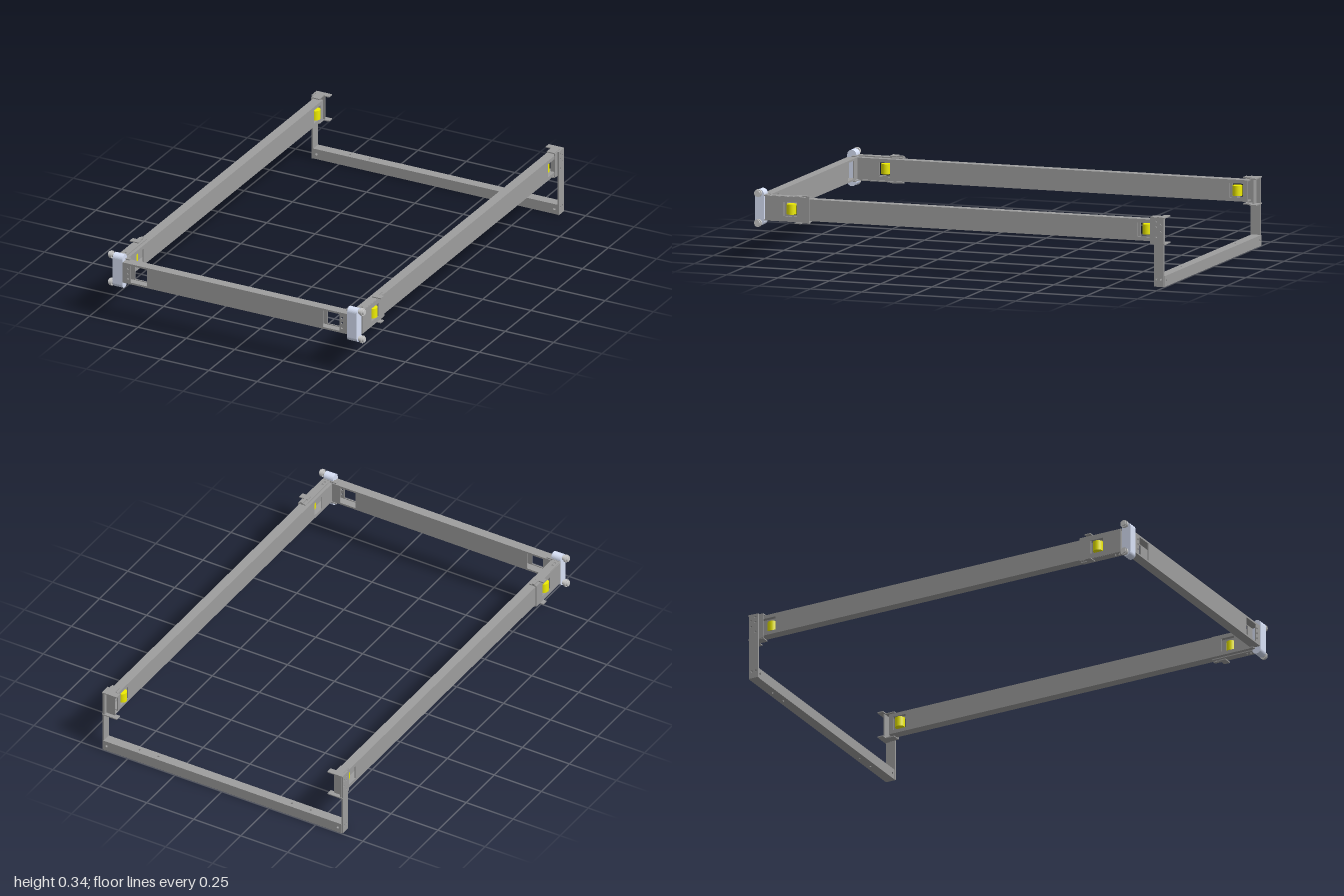
import * as THREE from 'three';

const grey = new THREE.MeshStandardMaterial({ color: 0x9e9e9e, side: THREE.DoubleSide });
const steel = new THREE.MeshStandardMaterial({ color: 0xcccccc });
const yellow = new THREE.MeshStandardMaterial({ color: 0xf0ee00 });
const blue = new THREE.MeshStandardMaterial({ color: 0xd9e2f8 });
const WALL = 0.005;
const MID = 0.257; // height of the beam centre lines

function add(parent, name, geometry, material, x = 0, y = 0, z = 0) {
  const mesh = new THREE.Mesh(geometry, material);
  mesh.name = name;
  mesh.position.set(x, y, z);
  parent.add(mesh);
}

const box = (w, h, d) => new THREE.BoxGeometry(w, h, d);

// Thin plate in the XY plane; holes are {x, y, r} circles or {x, y, w, h} windows
function plate(w, h, holes = [], t = WALL) {
  const shape = new THREE.Shape();
  const rect = (p, x, y, a, b) => {
    p.moveTo(x - a / 2, y - b / 2);
    p.lineTo(x + a / 2, y - b / 2);
    p.lineTo(x + a / 2, y + b / 2);
    p.lineTo(x - a / 2, y + b / 2);
    p.closePath();
  };
  rect(shape, 0, 0, w, h);
  for (const o of holes) {
    const path = new THREE.Path();
    if (o.r) path.absarc(o.x, o.y, o.r, 0, Math.PI * 2, true);
    else rect(path, o.x, o.y, o.w, o.h);
    shape.holes.push(path);
  }
  return new THREE.ExtrudeGeometry(shape, { depth: t, bevelEnabled: false, curveSegments: 8 })
    .translate(0, 0, -t / 2);
}

// Hollow rectangular beam running along x
function beam(name, length, h, d, frontHoles, backHoles, topHoles = []) {
  const g = new THREE.Group();
  g.name = name;
  for (const s of [-1, 1]) {
    add(g, 'sideWall', plate(length, h, s > 0 ? frontHoles : backHoles), grey,
      0, 0, s * (d - WALL) / 2);
    add(g, 'flangeWall', plate(length, d - 2 * WALL, topHoles).rotateX(-Math.PI / 2), grey,
      0, s * (h - WALL) / 2, 0);
  }
  return g;
}

// Cross-bolt along x with a round head at its outer end
function bolt(parent, s, y, z) {
  const turn = (r, l) => new THREE.CylinderGeometry(r, r, l, 20).rotateZ(Math.PI / 2);
  add(parent, 'boltShank', turn(0.011, 0.04), steel, s * 0.628, y, z);
  add(parent, 'boltHead', turn(0.018, 0.011), steel, s * 0.648, y, z);
  add(parent, 'boltTip', turn(0.013, 0.008), steel, s * 0.657, y, z);
}

// Rounded strap wrapping both bolts at a front corner
function strap() {
  const r = 0.022, half = 0.062;
  const shape = new THREE.Shape();
  shape.absarc(0, half, r, 0, Math.PI, false);
  shape.absarc(0, -half, r, Math.PI, Math.PI * 2, false);
  shape.closePath();
  return new THREE.ExtrudeGeometry(shape, { depth: 0.05, bevelEnabled: false, curveSegments: 12 })
    .translate(0, 0, -0.025).rotateY(Math.PI / 2);
}

export function createModel() {
  const model = new THREE.Group();
  model.name = 'bedFrame';

  // Front beam with windows, and a column of holes near each end of its front wall
  const windows = [-0.498, 0.498].map(x => ({ x, y: 0, w: 0.084, h: 0.084 }));
  const endHoles = [-0.553, 0.553].flatMap(x => [-0.025, 0, 0.025].map(y => ({ x, y, r: 0.005 })));
  const front = beam('frontBeam', 1.24, 0.102, 0.046, [...windows, ...endHoles], windows);
  front.position.set(0, MID, 0.973);
  model.add(front);

  // Low rear bar
  const barHoles = [-0.615, 0.615].map(x => ({ x, y: 0, r: 0.006 }));
  const rear = beam('rearBar', 1.27, 0.05, 0.048, barHoles, barHoles,
    [-0.455, -0.355, 0.355, 0.455].map(x => ({ x, y: 0, r: 0.005 })));
  rear.position.set(0, 0.025, -0.973);
  model.add(rear);

  for (const s of [-1, 1]) {
    const side = new THREE.Group();
    side.name = s > 0 ? 'leftSide' : 'rightSide';
    model.add(side);

    // Side rail, pierced by a window near each end
    const railWindows = [-0.825, 0.895].map(x => ({ x, y: 0, w: 0.066, h: 0.066 }));
    const rail = beam('sideRail', 1.9, 0.1, 0.046, railWindows, railWindows);
    rail.position.set(s * 0.605, MID, 0);
    rail.rotation.y = Math.PI / 2;
    side.add(rail);

    // Yellow rollers, outward at the front and inward at the rear
    const roller = new THREE.CylinderGeometry(0.023, 0.023, 0.047, 24);
    add(side, 'frontRoller', roller, yellow, s * 0.620, MID, 0.824);
    add(side, 'rearRoller', roller, yellow, s * 0.592, MID, -0.897);

    // Front bracket: pierced outer plate plus top and bottom flanges with tabs
    add(side, 'frontBracketPlate',
      plate(0.215, 0.115, [{ x: 0.0175, y: 0, w: 0.066, h: 0.066 }]).rotateY(Math.PI / 2), grey,
      s * 0.631, MID, 0.8425);
    const flangeHoles = [-0.09, -0.07, 0.07, 0.09].map(y => ({ x: 0, y, r: 0.005 }));
    for (const v of [-1, 1]) {
      add(side, 'frontBracketFlange', plate(0.036, 0.215, flangeHoles).rotateX(-Math.PI / 2), grey,
        s * 0.612, MID + v * 0.056, 0.8425);
      add(side, 'frontBracketTab', box(0.045, WALL, 0.03), grey, s * 0.627, MID + v * 0.061, 0.785);
      add(side, 'frontBracketLip', box(0.014, WALL, 0.065), grey, s * 0.616, MID + v * 0.061, 0.768);
      add(side, 'cornerGusset', box(0.07, WALL, 0.02), grey, s * 0.595, MID + v * 0.057, 0.96);
    }

    // Front corner strap and its bolts
    add(side, 'cornerStrap', strap(), blue, s * 0.606, MID, 0.977);
    for (const y of [0.188, 0.326]) bolt(side, s, y, 0.977);

    // Rear leg
    const legHoles = [[-0.01, 0.143], [-0.01, 0.118], [0.012, 0.13], [0.012, 0.098], [-0.01, 0.07],
      [0.01, -0.125], [-0.01, -0.125]].map(([x, y]) => ({ x, y, r: 0.005 }));
    add(side, 'rearLeg', plate(0.048, 0.32, legHoles, 0.008).rotateY(Math.PI / 2), grey,
      s * 0.636, 0.16, -0.97);

    // Rear bracket: end plate with top and bottom flanges
    add(side, 'rearEndPlate', box(0.05, 0.12, WALL), grey, s * 0.608, MID, -0.975);
    add(side, 'rearSidePlate', box(WALL, 0.12, 0.07), grey, s * 0.629, MID, -0.96);
    for (const v of [-1, 1]) {
      const y = MID + v * 0.061;
      add(side, 'rearFlange', box(0.08, WALL, 0.03), grey, s * 0.6, y, -0.983);
      add(side, 'rearFlangeTongue', box(0.04, WALL, 0.045), grey, s * 0.608, y, -0.948);
    }
  }
  return model;
}
